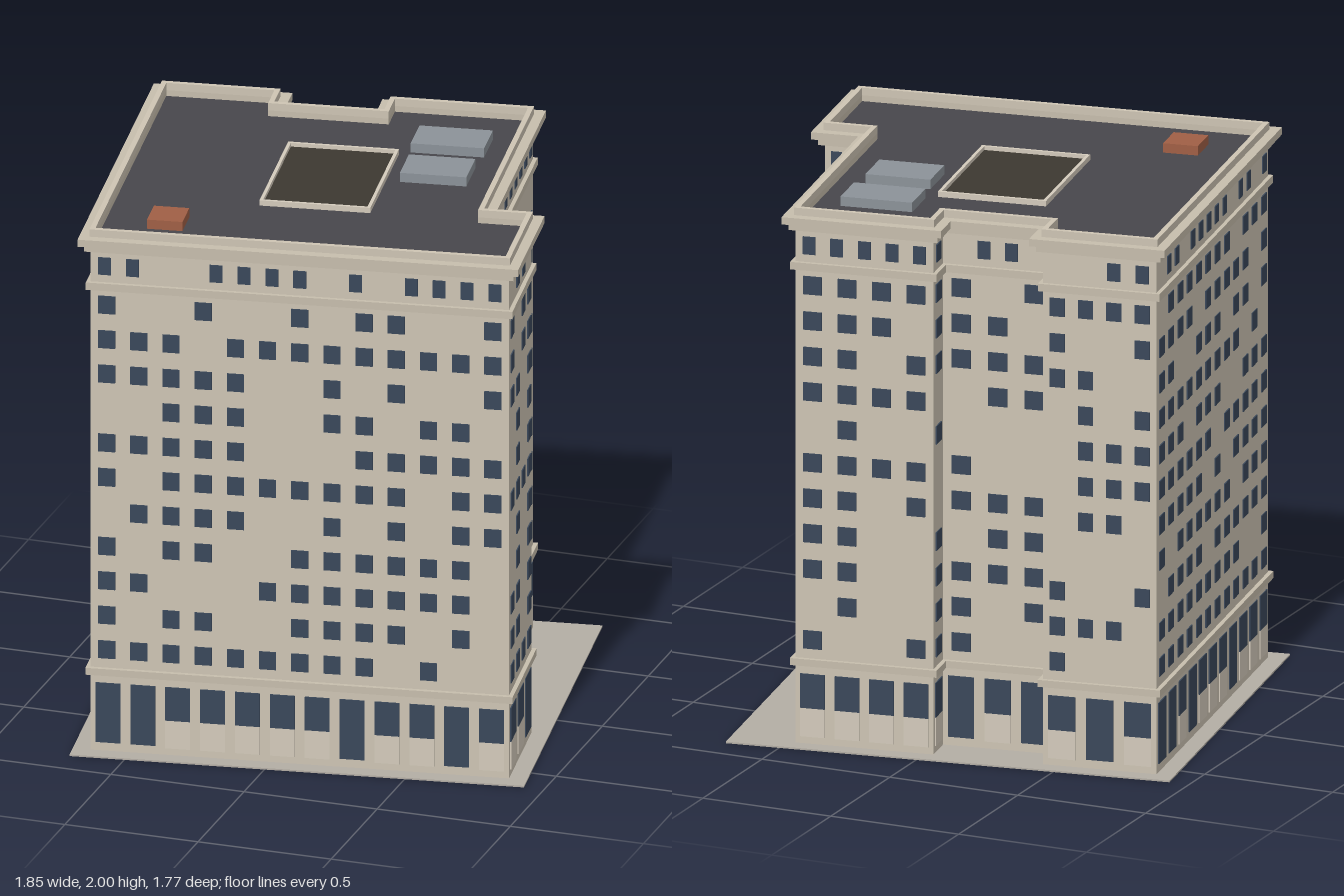
import * as THREE from 'three';
import { mergeGeometries } from 'three/addons/utils/BufferGeometryUtils.js';

const mat = (color) => new THREE.MeshStandardMaterial({ color, flatShading: true });
const STONE = mat(0xcdc4b3), TRIM = mat(0xc6bdac), GLASS = mat(0x3a485a), PANEL = mat(0xd3cabb);
const ROOF = mat(0x47464b), PAVING = mat(0xb3ada4), METAL = mat(0x8b9298), RUST = mat(0xa05f45), WELL = mat(0x3c3831);

// Wall outline as [x, z], left to right as each face is seen from outside
const PLAN = [
  [-0.755, 0.71], [0.755, 0.71], [0.755, 0.27], [0.58, 0.27], [0.58, -0.71],
  [0.07, -0.71], [0.07, -0.588], [-0.335, -0.588], [-0.335, -0.71], [-0.755, -0.71],
];

// Walls between successive plan corners
const walls = PLAN.map((a, i) => {
  const b = PLAN[(i + 1) % PLAN.length];
  const len = Math.hypot(b[0] - a[0], b[1] - a[1]);
  const d = [(b[0] - a[0]) / len, (b[1] - a[1]) / len];
  return { a, len, d, n: [-d[1], d[0]] };
});

// Plan grown outward by o
const grown = (o) => PLAN.map(([x, z], i) => {
  const p = walls[(i + PLAN.length - 1) % PLAN.length].n, q = walls[i].n;
  return new THREE.Vector2(x + o * (p[0] + q[0]), -(z + o * (p[1] + q[1])));
});

function storey(name, material, y0, y1, out, inner) {
  const shape = new THREE.Shape(grown(out));
  if (inner !== undefined) shape.holes.push(new THREE.Path(grown(inner).reverse()));
  const geo = new THREE.ExtrudeGeometry(shape, { depth: y1 - y0, bevelEnabled: false });
  geo.rotateX(-Math.PI / 2).translate(0, y0, 0);
  const mesh = new THREE.Mesh(geo, material);
  mesh.name = name;
  return mesh;
}

function block(name, material, w, h, d, x, y, z) {
  const mesh = new THREE.Mesh(new THREE.BoxGeometry(w, h, d), material);
  mesh.position.set(x, y + h / 2, z);
  mesh.name = name;
  return mesh;
}

// Thin pane on a wall, centred at distance s along it
function pane(wall, s, y, w, h) {
  const { a, d, n } = wall;
  return new THREE.BoxGeometry(w, h, 0.008)
    .rotateY(Math.atan2(n[0], n[1]))
    .translate(a[0] + d[0] * s, y, a[1] + d[1] * s);
}

// Window columns per floor, lowest floor first, keyed by wall index
const FLOORS = {
  0: ['0 1 2 3 4 5 6 7 8 10', '0 2 3 6 7 8 9 11', '0 1 5 6 7 8 9 10 11', '0 2 3 6 7 8 9 10 11',
    '1 2 3 4 7 9 11 12', '0 2 3 4 5 6 7 8 9 11 12', '0 1 2 3 4 8 9 10 11 12', '2 3 4 7 8 10 11',
    '0 1 2 3 4 7 9 12', '0 1 2 4 5 6 7 8 9 10 11 12', '0 3 6 8 9 12'],
  1: ['0 1 2 3', '0 1 3', '0 1 3', '1 3', '1 3', '0 1 2 3', '1 3', '1 3', '0 1 3', '0 2 3', '0 2 3'],
  3: ['0 1 2 3 6 7', '1 2 3 4 5 6 7', '0 1 2 7', '0 1 3 6 7', '1 2 3 4 6', '1 2 3 4 7',
    '0 1 4 7', '1 3 6', '1 3 4 6 7', '0 2 4 7', '0 1 3'],
};
const TOP = { 0: '0 1 4 5 6 7 9 11 12 13 14', 1: '1 2', 3: '1 4 5 6 7 8 9' };
const DOORS = { 0: '0 1 7 10', 1: '2', 3: '1 3', 5: '', 8: '1' };
const has = (list, k) => list.split(' ').includes(String(k));

function createWindows() {
  let seed = 7;
  const rand = () => (seed = (seed * 16807) % 2147483647) / 2147483647;
  const upper = [], attic = [], shop = [], panels = [];
  walls.forEach((wall, i) => {
    const fill = i === 9 ? 0.85 : 0.68;
    // Regular floors
    const n = Math.max(1, Math.round(wall.len / 0.118)), step = wall.len / n;
    for (let f = 0; f < 11; f++) for (let k = 0; k < n; k++) {
      if (FLOORS[i] ? has(FLOORS[i][f], k) : rand() < fill)
        upper.push(pane(wall, (k + 0.5) * step, 0.394 + 0.132 * f, step * 0.53, 0.068));
    }
    // Attic floor
    const m = Math.max(1, Math.round(wall.len / 0.1)), ms = wall.len / m;
    for (let k = 0; k < m; k++) {
      if (TOP[i] ? has(TOP[i], k) : rand() < fill)
        attic.push(pane(wall, (k + 0.5) * ms, 1.862, ms * 0.46, 0.066));
    }
    // Shop fronts: full-height doors, or a window over a pale panel
    const c = Math.max(1, Math.floor(wall.len / 0.125)), cs = wall.len / c;
    for (let k = 0; k < c; k++) {
      const s = (k + 0.5) * cs, w = cs * 0.71;
      const door = DOORS[i] !== undefined ? has(DOORS[i], k) : rand() < 0.2;
      if (door) shop.push(pane(wall, s, 0.152, w, 0.228));
      else {
        shop.push(pane(wall, s, 0.202, w, 0.128));
        panels.push(pane(wall, s, 0.085, w, 0.106));
      }
    }
  });
  const group = new THREE.Group();
  group.name = 'windows';
  for (const [name, geos, m] of [['floorWindows', upper, GLASS], ['atticWindows', attic, GLASS],
    ['shopWindows', shop, GLASS], ['shopPanels', panels, PANEL]]) {
    const mesh = new THREE.Mesh(mergeGeometries(geos), m);
    mesh.name = name;
    group.add(mesh);
  }
  return group;
}

function createRoofItems() {
  const group = new THREE.Group();
  group.name = 'roofItems';
  const y = 1.95, cx = -0.028, cz = -0.02, w = 0.4, d = 0.565, t = 0.012;
  // Light well with a pale kerb
  group.add(block('lightWell', WELL, w - t, 0.006, d - t, cx, y, cz));
  for (const s of [-1, 1]) {
    group.add(block('wellKerb', PANEL, w, 0.02, t, cx, y, cz + s * (d - t) / 2));
    group.add(block('wellKerb', PANEL, t, 0.02, d - 2 * t, cx + s * (w - t) / 2, y, cz));
  }
  // Plant units and access hatch
  group.add(block('plantUnit', METAL, 0.265, 0.035, 0.172, 0.342, y, -0.413));
  group.add(block('plantUnit', METAL, 0.24, 0.035, 0.177, 0.342, y, -0.135));
  group.add(block('roofHatch', RUST, 0.128, 0.035, 0.134, -0.517, y, 0.483));
  return group;
}

export function createModel() {
  const tower = new THREE.Group();
  tower.name = 'apartmentBlock';
  tower.add(
    block('pavement', PAVING, 1.64, 0.006, 1.54, 0, 0, 0),
    storey('walls', STONE, 0.006, 1.93, 0),
    storey('lowerBand', TRIM, 0.298, 0.324, 0.016),
    storey('upperBand', TRIM, 1.772, 1.8, 0.015),
    storey('corniceStep', TRIM, 1.92, 1.945, 0.02, -0.015),
    storey('cornice', TRIM, 1.945, 1.972, 0.04, -0.015),
    storey('parapet', STONE, 1.972, 2, 0.004, -0.015),
    storey('roofDeck', ROOF, 1.93, 1.95, -0.015),
    createWindows(),
    createRoofItems(),
  );
  // The whole block stands at a slight angle to the axes
  tower.rotation.y = 0.151;
  const model = new THREE.Group();
  model.name = 'building';
  model.add(tower);
  return model;
}
